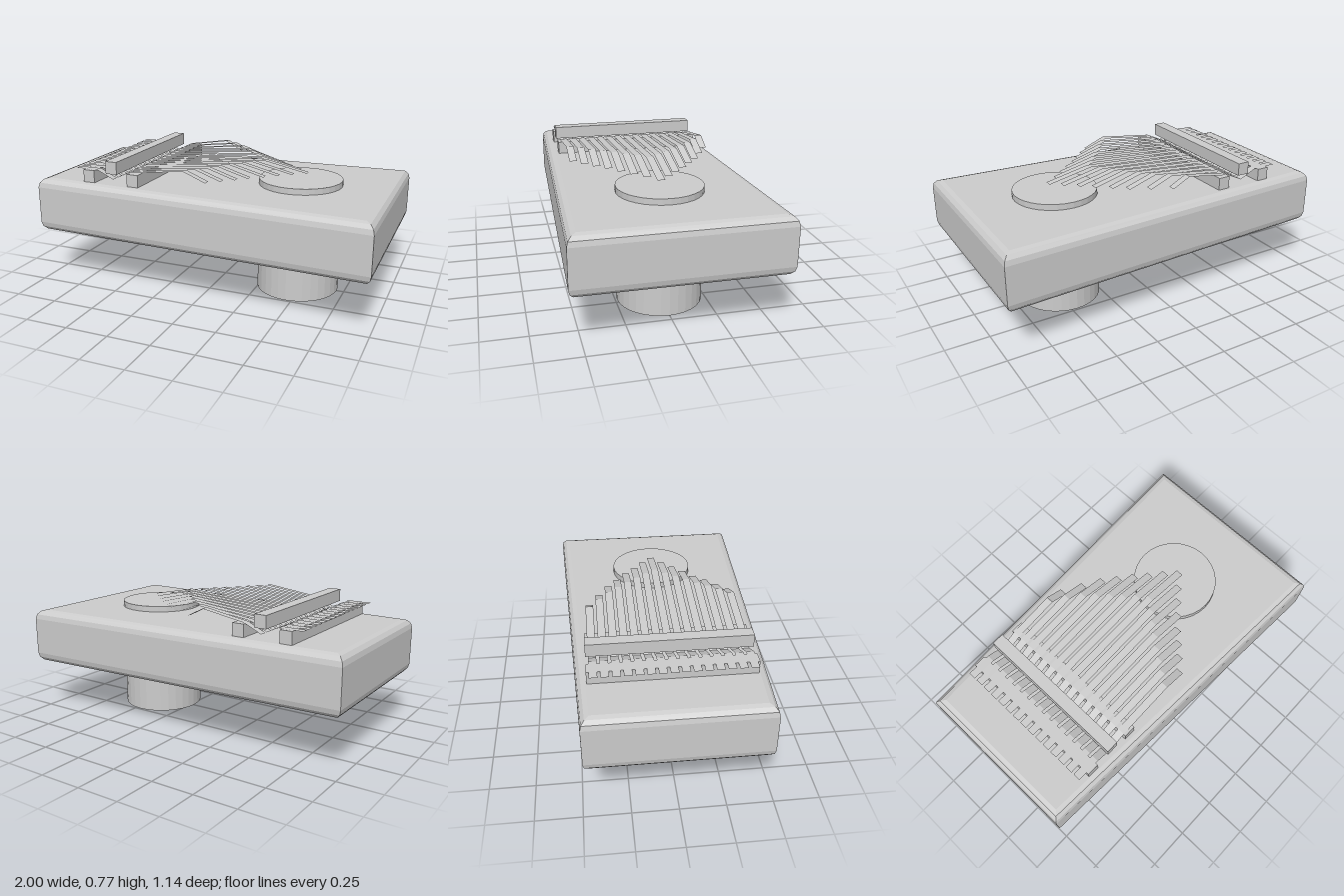
import * as THREE from 'three';

const grey = new THREE.MeshStandardMaterial({ color: 0xcccccc, flatShading: true });
const thin = new THREE.MeshStandardMaterial({ color: 0xcccccc, flatShading: true, side: THREE.DoubleSide });

function add(parent, name, geometry, x, y, z, material = grey) {
  const mesh = new THREE.Mesh(geometry, material);
  mesh.name = name;
  mesh.position.set(x, y, z);
  parent.add(mesh);
  return mesh;
}

// Tapered body with rounded top and bottom edges
function bodyGeometry() {
  const bottom = 0.307, top = 0.632, round = 0.055, inset = 0.05;
  const outline = new THREE.Shape([
    new THREE.Vector2(-1, -0.483), new THREE.Vector2(1, -0.572),
    new THREE.Vector2(1, 0.572), new THREE.Vector2(-1, 0.483),
  ]);
  const geometry = new THREE.ExtrudeGeometry(outline, {
    depth: top - bottom - 2 * round,
    bevelThickness: round, bevelSize: inset, bevelOffset: -inset, bevelSegments: 3,
  });
  geometry.rotateX(-Math.PI / 2);
  geometry.translate(0, bottom + round, 0);
  return geometry;
}

// Thin ribbon following a side profile of [x, y] points
function ribbonGeometry(profile, width) {
  const geometry = new THREE.PlaneGeometry(1, width, profile.length - 1, 1);
  geometry.rotateX(-Math.PI / 2);
  const pos = geometry.attributes.position;
  for (let i = 0; i < pos.count; i++) {
    const [x, y] = profile[i % profile.length];
    pos.setX(i, x);
    pos.setY(i, y);
  }
  geometry.computeVertexNormals();
  return geometry;
}

export function createModel() {
  const group = new THREE.Group();
  group.name = 'thumbPiano';

  add(group, 'body', bodyGeometry(), 0, 0, 0);

  // Round post passing through the body
  add(group, 'post', new THREE.CylinderGeometry(0.24, 0.24, 0.666, 32), 0.467, 0.333, 0);

  // Two bridges and the raised pressure bar
  const bar = new THREE.BoxGeometry(0.07, 0.072, 0.882);
  add(group, 'rearBridge', bar, -0.671, 0.668, 0);
  add(group, 'frontBridge', bar, -0.388, 0.668, 0);
  add(group, 'pressureBar', bar, -0.522, 0.73, 0);

  // Tines: over the rear bridge, under the bar, up to a bend, then down to the tip
  const tips = [-0.05, 0.06, 0.16, 0.235, 0.31, 0.375, 0.445, 0.505,
    0.435, 0.37, 0.305, 0.235, 0.18, 0.12, 0.055];
  const tines = new THREE.Group();
  tines.name = 'tines';
  group.add(tines);
  tips.forEach((tip, i) => {
    const bend = -0.42 + 0.72 * (tip + 0.42);
    const profile = [
      [-0.76, 0.707], [-0.62, 0.707], [-0.52, 0.66],
      [-0.42, 0.707], [bend, 0.751], [tip, 0.698],
    ];
    add(tines, 'tine', ribbonGeometry(profile, 0.043), 0, 0, (i - 7) * 0.058, thin);
  });

  return group;
}
